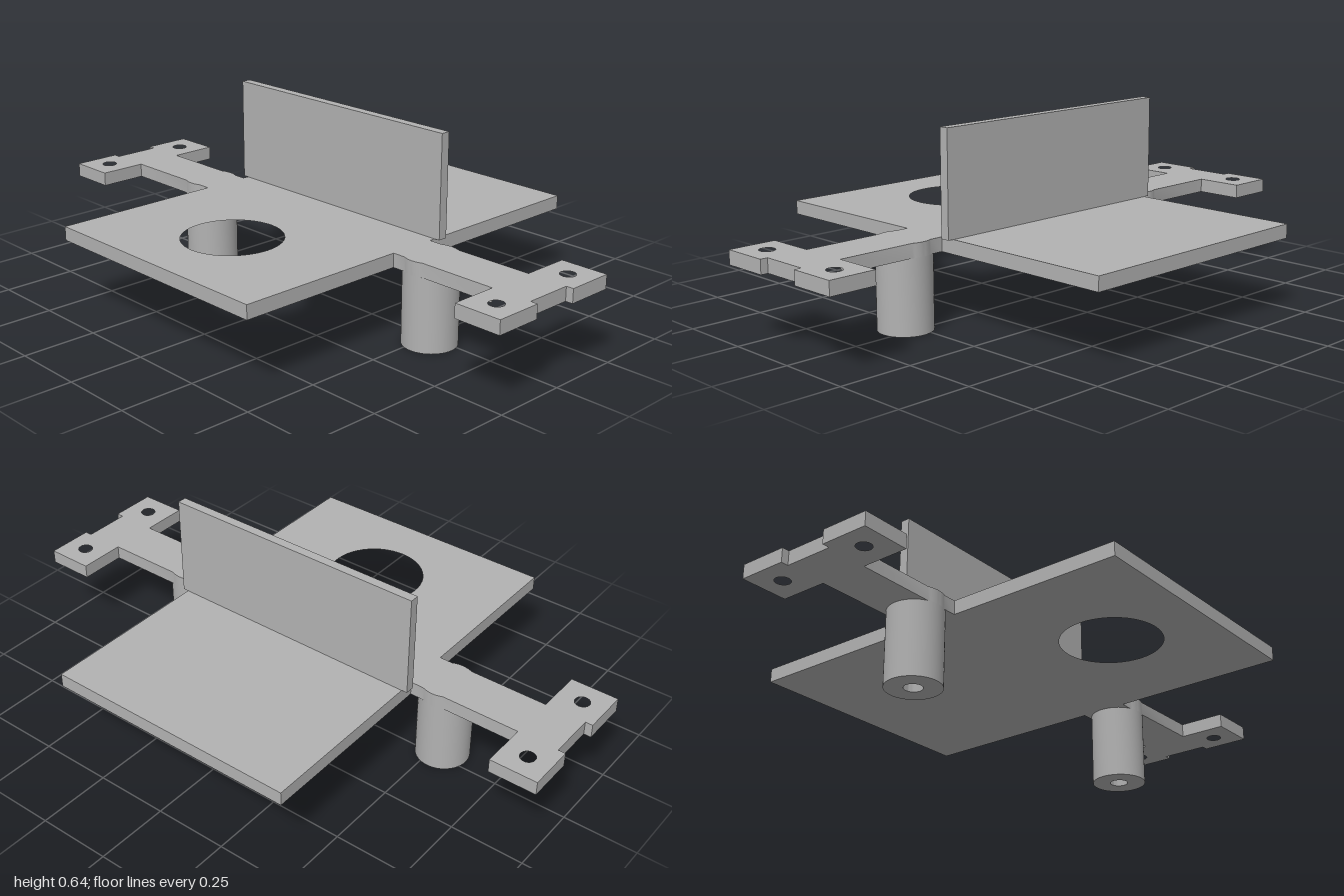
import * as THREE from 'three';
import { toCreasedNormals } from 'three/addons/utils/BufferGeometryUtils.js';

const PLATE_BOTTOM = 0.248, PLATE_TOP = 0.295;
const ARM_Z = 0.03;      // centre line of arms, posts and end pads
const ARM_HALF = 0.082;
const POST_X = 0.53, POST_R = 0.09;

// Adds a round hole to a shape drawn with y = -z
function addHole(shape, x, z, r) {
  shape.holes.push(new THREE.Path().absarc(x, -z, r, 0, Math.PI * 2, true));
}

// Extrudes a plan shape upward from y0 to y1
function extrudeUp(shape, y0, y1) {
  const geo = new THREE.ExtrudeGeometry(shape, { depth: y1 - y0, bevelEnabled: false, curveSegments: 24 });
  geo.rotateX(-Math.PI / 2).translate(0, y0, 0);
  return toCreasedNormals(geo, Math.PI / 6);
}

// Outline of the plate, its two arms and the notched end pads
function plateShape() {
  const w = 0.448, d = 0.703, padIn = 0.837, padOut = 1, notch = 0.975, padHalf = 0.244;
  const bump = [];
  const a0 = Math.asin(ARM_HALF / POST_R);
  for (let i = 0; i <= 8; i++) {
    const a = Math.PI - a0 + (2 * a0 - Math.PI) * i / 8;
    bump.push([POST_X + POST_R * Math.cos(a), POST_R * Math.sin(a)]);
  }
  // Back edge of one arm, from plate to tip, measured from the arm centre line
  const edge = [[w, ARM_HALF], ...bump, [padIn, ARM_HALF], [padIn, padHalf],
    [padOut, padHalf], [padOut, ARM_HALF], [notch, ARM_HALF]];
  const arm = [...edge, ...edge.map(([x, y]) => [x, -y]).reverse()]
    .map(([x, y]) => new THREE.Vector2(x, y - ARM_Z));
  const mirrored = arm.map(p => new THREE.Vector2(-p.x, p.y)).reverse();
  const shape = new THREE.Shape([
    new THREE.Vector2(w, d), ...arm, new THREE.Vector2(w, -d),
    new THREE.Vector2(-w, -d), ...mirrored, new THREE.Vector2(-w, d),
  ]);
  addHole(shape, 0, 0.377, 0.165);
  for (const sx of [-1, 1]) {
    for (const sz of [-1, 1]) addHole(shape, sx * 0.92, ARM_Z + sz * 0.163, 0.025);
  }
  return shape;
}

export function createModel() {
  const model = new THREE.Group();
  model.name = 'mountingBracket';
  const grey = new THREE.MeshStandardMaterial({ color: 0xb2b2b2 });
  grey.name = 'plain grey';

  function add(name, geometry) {
    const mesh = new THREE.Mesh(geometry, grey);
    mesh.name = name;
    model.add(mesh);
    return mesh;
  }

  add('basePlate', extrudeUp(plateShape(), PLATE_BOTTOM, PLATE_TOP));

  // Upright wall, slightly wider than the plate
  const wallHeight = 0.642 - PLATE_TOP;
  add('uprightWall', new THREE.BoxGeometry(0.936, wallHeight, 0.032))
    .position.set(0, PLATE_TOP + wallHeight / 2, -0.089);

  // Hollow posts, closed at the top by the arms
  for (const [name, side] of [['leftPost', 1], ['rightPost', -1]]) {
    const ring = new THREE.Shape().absarc(0, 0, POST_R, 0, Math.PI * 2, false);
    addHole(ring, 0, 0, 0.03);
    add(name, extrudeUp(ring, 0, PLATE_BOTTOM)).position.set(side * POST_X, 0, ARM_Z);
  }
  return model;
}
